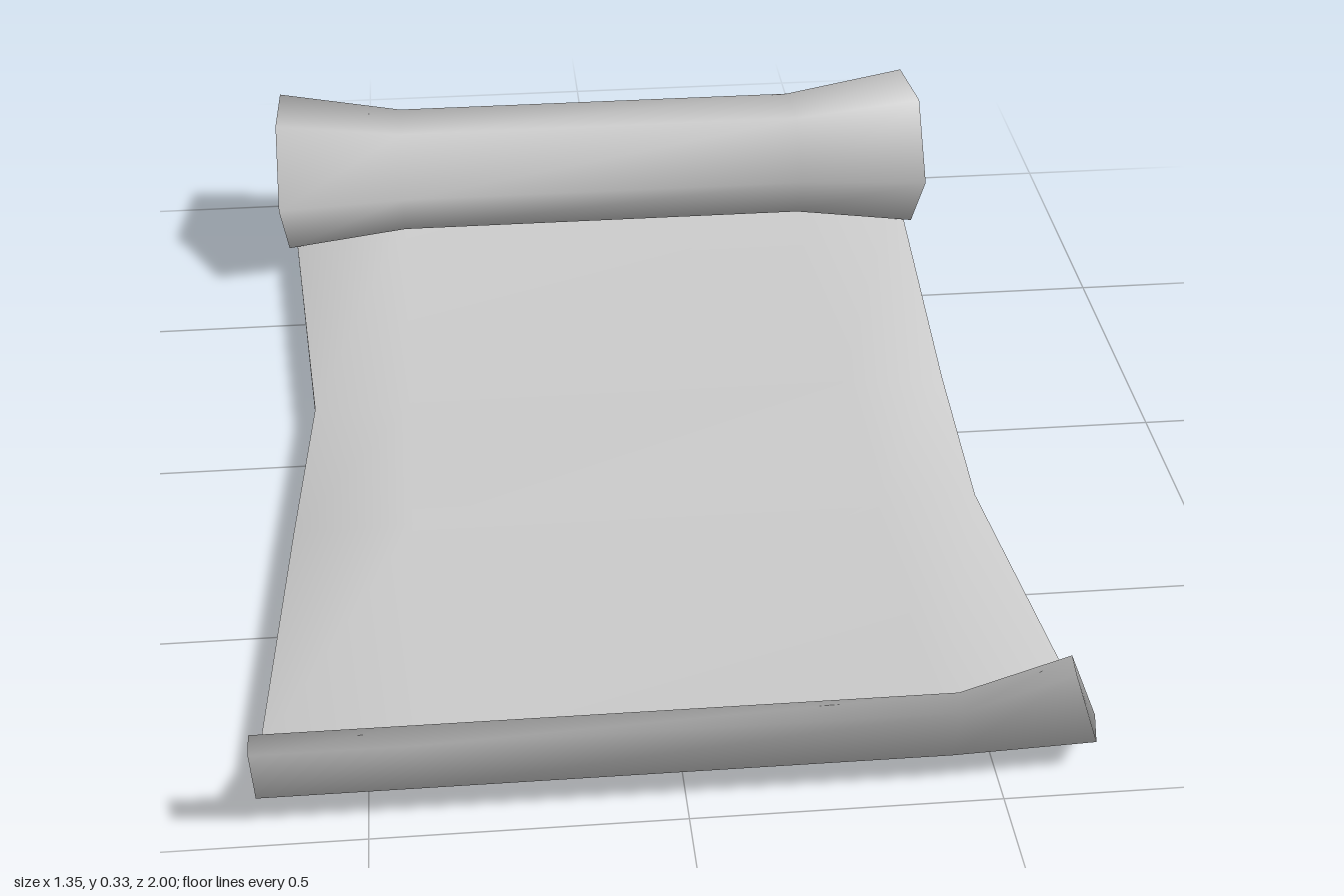
import * as THREE from 'three';

// Cross-sections along the sheet, front lip to the inner end of the roll:
// outer z, y, inner z, y, left (-x) half-width, right (+x) half-width
const FLAT = [
  [1.0, 0.19, 0.965, 0.20, 0.67, 0.60],
  [0.96, 0.065, 0.935, 0.10, 0.67, 0.655],
  [0.855, 0.003, 0.85, 0.06, 0.67, 0.655],
  [0.28, 0.006, 0.28, 0.062, 0.63, 0.60],
  [-0.10, 0.009, -0.10, 0.063, 0.60, 0.615],
];
const ROLL = [
  [-0.87, 0.015, -0.85, 0.065, 0.66, 0.66],
  [-0.998, 0.12, -0.93, 0.145, 0.675, 0.675],
  [-0.96, 0.30, -0.91, 0.235, 0.675, 0.675],
  [-0.75, 0.333, -0.77, 0.24, 0.675, 0.675],
  [-0.63, 0.20, -0.695, 0.18, 0.675, 0.675],
  [-0.70, 0.07, -0.73, 0.13, 0.665, 0.665],
  [-0.82, 0.04, -0.82, 0.11, 0.665, 0.665],
];
const INNER_X = 0.42; // the flare of the ends starts here
const ROLL_CENTER = [-0.81, 0.16];
const PINCH = 0.78;   // the roll is narrower in its middle

function createSheetGeometry() {
  const stations = [...FLAT, ...ROLL];
  const positions = [];
  const index = [];

  stations.forEach(([oz, oy, iz, iy, left, right], j) => {
    const xs = [-left, -INNER_X, INNER_X, right];
    const inRoll = j >= FLAT.length;
    const point = (k, z, y) => {
      const middle = k === 1 || k === 2;
      if (inRoll && middle) {
        z = ROLL_CENTER[0] + (z - ROLL_CENTER[0]) * PINCH;
        // the first section of the roll stays on the ground
        if (j > FLAT.length) y = ROLL_CENTER[1] + (y - ROLL_CENTER[1]) * PINCH;
      }
      // turned-in front corner
      if (j === 0 && k === 3) { z -= 0.025; y += 0.04; }
      if (j === 1 && k === 3) z -= 0.01;
      positions.push(xs[k], y, z);
    };
    for (let k = 0; k < 4; k++) point(k, oz, oy);
    for (let k = 3; k >= 0; k--) point(k, iz, iy);
  });

  // skin between neighbouring sections
  const n = 8;
  for (let j = 0; j < stations.length - 1; j++) {
    for (let k = 0; k < n; k++) {
      const a = j * n + k, b = j * n + (k + 1) % n;
      index.push(a, a + n, b, b, a + n, b + n);
    }
  }
  // closing strips at the front lip and the inner end
  const last = (stations.length - 1) * n;
  for (let k = 0; k < 3; k++) {
    const o = k, p = k + 1, q = 6 - k, r = 7 - k;
    index.push(o, p, q, o, q, r);
    index.push(last + o, last + q, last + p, last + o, last + r, last + q);
  }

  const geometry = new THREE.BufferGeometry();
  geometry.setAttribute('position', new THREE.Float32BufferAttribute(positions, 3));
  geometry.setIndex(index);
  geometry.computeVertexNormals();
  return geometry;
}

export function createModel() {
  const group = new THREE.Group();
  group.name = 'scroll';
  const sheet = new THREE.Mesh(
    createSheetGeometry(),
    new THREE.MeshStandardMaterial({ color: 0xcccccc })
  );
  sheet.name = 'rolledSheet';
  group.add(sheet);
  return group;
}
